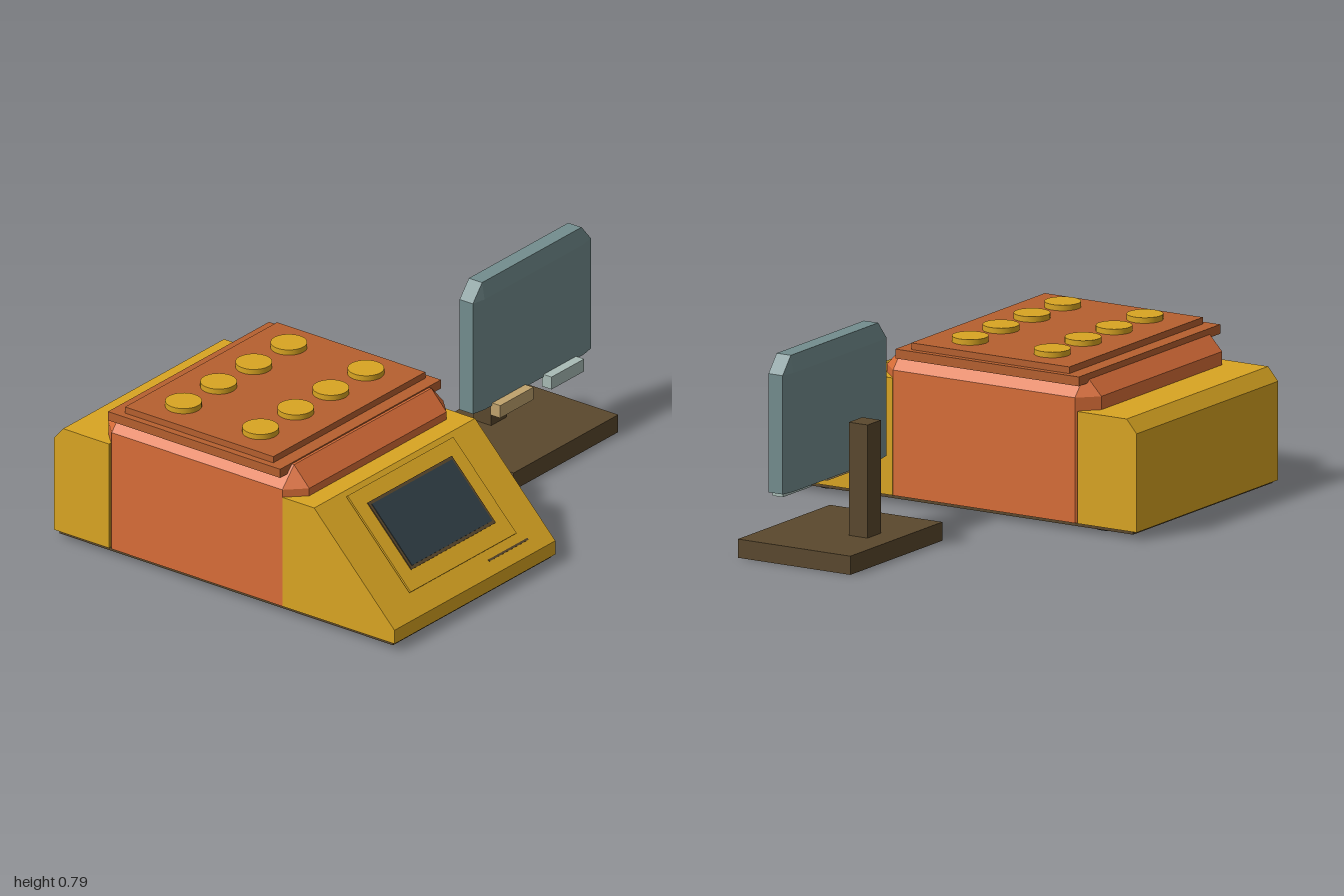
import * as THREE from 'three';
import { ConvexGeometry } from 'three/addons/geometries/ConvexGeometry.js';

const mat = (name, color) => {
  const m = new THREE.MeshStandardMaterial({ color });
  m.name = name;
  return m;
};

export function createModel() {
  const yellow = mat('yellow', 0xd9a522);
  const orange = mat('orange', 0xd86d38);
  const rust = mat('rust', 0xb6602f);
  const brown = mat('dark brown', 0x5a482d);
  const slate = mat('slate', 0x303e46);
  const teal = mat('teal', 0x738d8e);
  const tan = mat('tan', 0xc0a36d);
  const pale = mat('pale grey', 0xa9bcb6);

  const model = new THREE.Group();
  const add = (name, geometry, material, parent = model) => {
    const mesh = new THREE.Mesh(geometry, material);
    mesh.name = name;
    parent.add(mesh);
    return mesh;
  };

  // Box given by its limits on each axis
  const box = (name, material, [x0, x1], [y0, y1], [z0, z1], parent) => {
    const g = new THREE.BoxGeometry(x1 - x0, y1 - y0, z1 - z0);
    g.translate((x0 + x1) / 2, (y0 + y1) / 2, (z0 + z1) / 2);
    return add(name, g, material, parent);
  };

  // Box with chamfered upright and top edges and a flat bottom
  const chamferBox = (name, material, [x0, x1], [y0, y1], [z0, z1], [cx, cy, cz], parent) => {
    const points = [];
    for (const [x, ix] of [[x0, x0 + cx], [x1, x1 - cx]]) {
      for (const [z, iz] of [[z0, z0 + cz], [z1, z1 - cz]]) {
        for (const y of [y0, y1 - cy]) {
          points.push(new THREE.Vector3(x, y, iz), new THREE.Vector3(ix, y, z));
        }
        points.push(new THREE.Vector3(ix, y1, iz));
      }
    }
    return add(name, new ConvexGeometry(points), material, parent);
  };

  const machine = new THREE.Group();
  machine.name = 'machine';
  model.add(machine);
  const wide = [-1, -0.045];
  const midX = (wide[0] + wide[1]) / 2;

  // Side profile of [z, y] points, extruded across the machine
  const profile = (name, points) => {
    const shape = new THREE.Shape(points.map(([z, y]) => new THREE.Vector2(-z, y)));
    const g = new THREE.ExtrudeGeometry(shape, { depth: wide[1] - wide[0], bevelEnabled: false });
    g.rotateY(Math.PI / 2).translate(wide[0], 0, 0);
    return add(name, g, yellow, machine);
  };

  // Body and its yellow end housings
  chamferBox('body', orange, wide, [0.03, 0.575], [-0.588, 0.338], [0.07, 0.075, 0.07], machine);
  profile('frontHousing', [[0.27, 0.03], [0.785, 0.03], [0.785, 0.085], [0.415, 0.47], [0.27, 0.47]]);
  profile('rearHousing', [[-0.53, 0.03], [-0.53, 0.45], [-0.742, 0.45], [-0.785, 0.4], [-0.785, 0.03]]);

  // Stepped lid with two rows of buttons
  box('lid', rust, wide, [0.545, 0.58], [-0.535, 0.258], machine);
  box('lidTop', rust, [-0.972, -0.07], [0.58, 0.605], [-0.478, 0.205], machine);
  for (const z of [0.04, -0.315]) {
    for (const x of [-0.835, -0.627, -0.418, -0.21]) {
      const g = new THREE.CylinderGeometry(0.067, 0.067, 0.024, 32);
      add('button', g, yellow, machine).position.set(x, 0.614, z);
    }
  }

  // Base plate and feet
  box('basePlate', brown, [-0.992, -0.053], [0.018, 0.032], [-0.765, 0.772], machine);
  for (const x of [-0.88, -0.162]) {
    for (const z of [0.602, -0.596]) {
      const g = new THREE.CylinderGeometry(0.055, 0.055, 0.022, 24);
      add('foot', g, slate, machine).position.set(x, 0.011, z);
    }
  }

  // Sloped control panel: local z points out of the slope, local y runs up it
  const panel = new THREE.Group();
  panel.name = 'controlPanel';
  panel.position.set(midX, 0.2775, 0.6);
  panel.rotation.x = -Math.atan2(0.37, 0.385);
  machine.add(panel);
  box('panelPlate', yellow, [-0.314, 0.314], [-0.175, 0.245], [0.008, 0.016], panel);
  box('screenFrame', brown, [-0.25, 0.25], [-0.105, 0.187], [0.016, 0.02], panel);
  box('screen', slate, [-0.238, 0.238], [-0.093, 0.175], [0.02, 0.023], panel);
  box('slot', brown, [0.13, 0.362], [-0.216, -0.208], [0, 0.003], panel);

  // Separate display on its stand
  const display = new THREE.Group();
  display.name = 'display';
  model.add(display);
  box('standBase', brown, [0.337, 0.958], [0, 0.07], [-0.19, 0.296], display);
  box('standPost', brown, [0.602, 0.692], [0.07, 0.494], [-0.094, -0.013], display);
  chamferBox('displayPanel', teal, [0.3, 1], [0.275, 0.785], [0.065, 0.148], [0.055, 0.065, 0.011], display);
  box('tanPad', tan, [0.4, 0.597], [0.235, 0.285], [0.14, 0.185], display);
  box('palePad', pale, [0.705, 0.898], [0.235, 0.285], [0.14, 0.185], display);

  return model;
}
